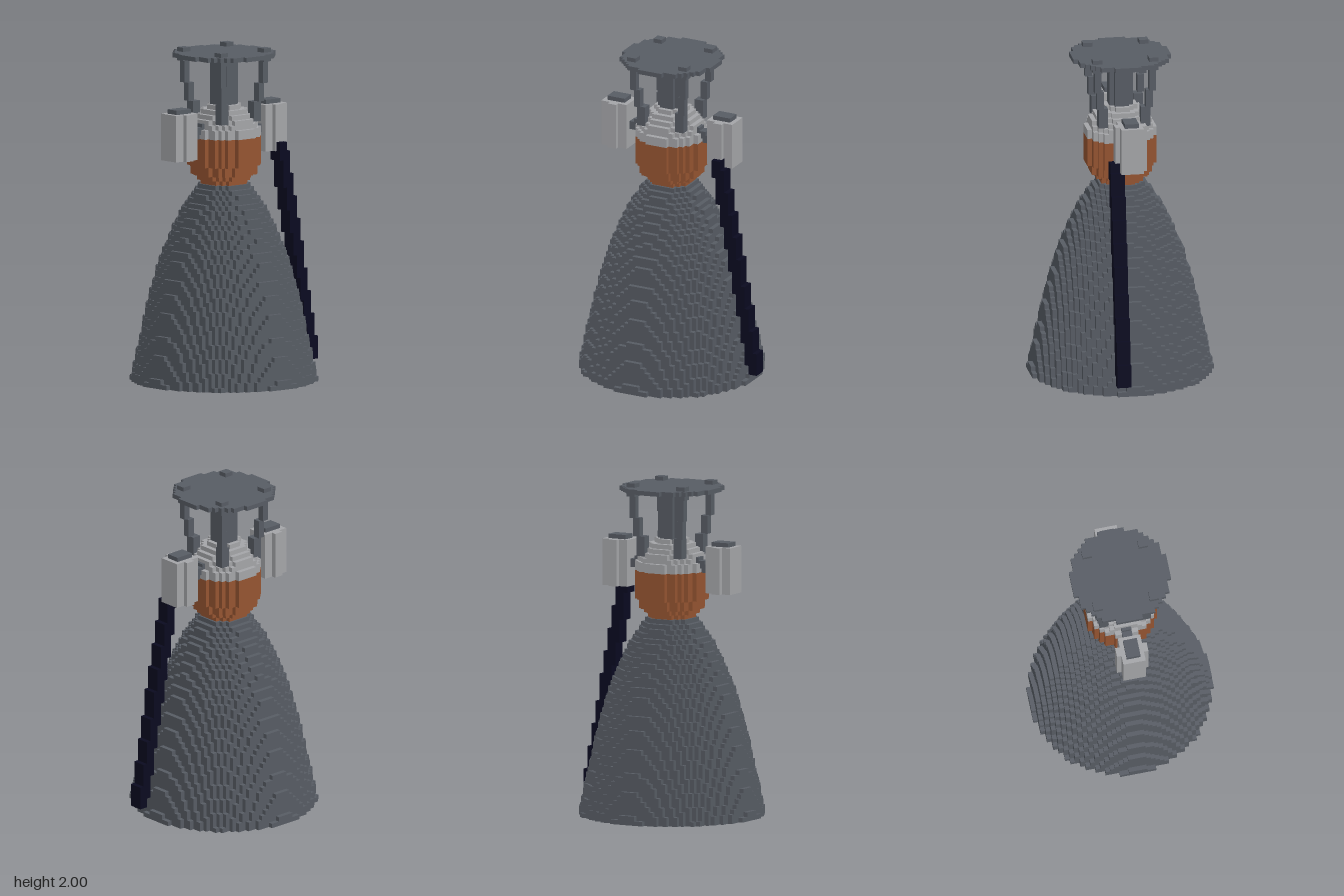
import * as THREE from 'three';

const mat = (name, color) => Object.assign(new THREE.MeshStandardMaterial({ color }), { name });
const AXIS = -0.044; // x of the engine's centre line

// Blocky solid: cells that pass inside(x, layer, z) become cubes; only exposed faces are built.
// size: cell size, count: cells per axis, base: bottom centre, solid: cells that hide faces.
function voxels(name, material, size, count, base, inside, solid = inside) {
  const filled = (c, test) => c.every((v, a) => v >= 0 && v < count[a]) &&
    test(c[0] + 0.5 - count[0] / 2, c[1], c[2] + 0.5 - count[2] / 2);
  const pos = [];
  const emit = (c) => {
    const p = [0, 1, 2].map((a) => base[a] + size[a] * (c[a] + 0.5 - (a === 1 ? 0 : count[a] / 2)));
    for (let d = 0; d < 3; d++) {
      for (const s of [-1, 1]) {
        const n = [...c];
        n[d] += s;
        if (filled(n, solid)) continue;
        const e = (d + 1) % 3, f = (d + 2) % 3;
        const quad = [[-1, -1], [1, -1], [1, 1], [-1, 1]].map(([a, b]) => {
          const q = [...p];
          q[d] += s * size[d] / 2;
          q[e] += a * size[e] / 2;
          q[f] += b * size[f] / 2;
          return q;
        });
        if (s < 0) quad.reverse();
        for (const k of [0, 1, 2, 0, 2, 3]) pos.push(...quad[k]);
      }
    }
  };
  for (let i = 0; i < count[0]; i++)
    for (let j = 0; j < count[1]; j++)
      for (let k = 0; k < count[2]; k++) if (filled([i, j, k], inside)) emit([i, j, k]);
  const geo = new THREE.BufferGeometry();
  geo.setAttribute('position', new THREE.Float32BufferAttribute(pos, 3));
  geo.computeVertexNormals();
  const mesh = new THREE.Mesh(geo, material);
  mesh.name = name;
  return mesh;
}

function box(name, material, x0, x1, y0, y1, z0, z1) {
  const mesh = new THREE.Mesh(new THREE.BoxGeometry(x1 - x0, y1 - y0, z1 - z0), material);
  mesh.position.set((x0 + x1) / 2, (y0 + y1) / 2, (z0 + z1) / 2);
  mesh.name = name;
  return mesh;
}

// Bell radius in cells against layer height
const BELL = [[0, 20], [2, 19.5], [7, 18.5], [11, 17.5], [16, 16.5], [20, 15.5], [23.5, 14.5], [27, 13.5],
  [29.3, 12.5], [31.7, 11.5], [34, 10.5], [36, 9.5], [38, 8.5], [39.5, 7.5], [41, 6.5], [42, 5.6], [43, 5]];
function bellRadius(y) {
  const k = BELL.findIndex((p) => p[0] >= y);
  const [a, b] = [BELL[k - 1], BELL[k]];
  return a[1] + (b[1] - a[1]) * (y - a[0]) / (b[0] - a[0]);
}

export function createModel() {
  const gray = mat('darkGrayMetal', 0x575c64);
  const silver = mat('silverMetal', 0xa4a5a8);
  const copper = mat('copper', 0x955431);
  const navy = mat('darkNavy', 0x0a0a20);
  const model = new THREE.Group();
  model.name = 'rocketEngine';

  // Hollow nozzle bell with a dark lining
  const size = [0.0274, 0.02758, 0.0274], count = [40, 43, 40], base = [AXIS, 0, 0];
  const depth = (x, j, z) => bellRadius(j + 0.5) - Math.hypot(x, z);
  const shell = (x, j, z) => { const d = depth(x, j, z); return d >= 0 && (d < 1.45 || j > 40); };
  const lining = (x, j, z) => { const d = depth(x, j, z); return d >= 1.45 && d < 2.5 && j <= 40; };
  const wall = (x, j, z) => shell(x, j, z) || lining(x, j, z);
  model.add(voxels('nozzleBell', gray, size, count, base, shell, wall));
  model.add(voxels('nozzleLining', navy, size, count, base, lining, wall));

  // Combustion chamber: copper bowl under a silver dome
  const round = (radii) => (x, j, z) => Math.hypot(x, z) < radii[j];
  const bowl = [4.6, 5.6, 6.5, 6.7, 7.4, 7.5, 7.5, 7.5, 7.5, 7.5];
  const dome = [7.5, 7.4, 6.8, 6.4, 5.6, 4.7, 3.6];
  model.add(voxels('chamberBowl', copper, [0.0279, 0.0285, 0.0279], [15, 10, 15], [AXIS, 1.185, 0], round(bowl)));
  model.add(voxels('chamberDome', silver, [0.0279, 0.0275, 0.0279], [15, 7, 15], [AXIS, 1.47, 0], round(dome)));

  // Feed column and mounting plate
  model.add(voxels('feedColumn', gray, [0.0286, 0.35, 0.0286], [5, 1, 5], [AXIS, 1.6, 0], round([2.6])));
  model.add(voxels('mountingPlate', gray, [0.0268, 0.027, 0.0268], [22, 1, 22], [AXIS, 1.948, 0], round([11.0])));

  // Four stepped struts carrying the plate
  const steps = [[0.17, 1.92, 2, 0.056], [0.165, 1.79, 1.92, 0.04], [0.148, 1.68, 1.79, 0.042], [0.128, 1.56, 1.68, 0.055]];
  for (const sx of [-1, 1]) {
    for (const sz of [-1, 1]) {
      const strut = new THREE.Group();
      strut.name = 'strut';
      for (const [off, y0, y1, w] of steps) {
        const x = AXIS + sx * off, z = sz * off;
        strut.add(box('strutSegment', gray, x - w / 2, x + w / 2, y0, y1, z - w / 2, z + w / 2));
      }
      model.add(strut);
    }
  }

  // Side pods with caps and stepped link arms
  for (const s of [-1, 1]) {
    const x = AXIS + s * 0.353;
    model.add(voxels('sidePod', silver, [0.0283, 0.28, 0.0273], [6, 1, 7], [x, 1.355, 0],
      (a, j, b) => Math.hypot(a * 1.08, b) < 3.4));
    model.add(voxels('podCap', gray, [0.0285, 0.026, 0.028], [4, 1, 3], [x, 1.635, 0], () => true));
    [[0.13, 0.2, 1.52, 1.56], [0.18, 0.24, 1.495, 1.54], [0.22, 0.28, 1.47, 1.52]].forEach(([a, b, y0, y1]) =>
      model.add(box('podArm', gray, AXIS + (s < 0 ? -b : a), AXIS + (s < 0 ? -a : b), y0, y1, -0.03, 0.03)));
  }

  // Slanted exhaust pipe down the left side
  const pipe = (x, j) => Math.abs(x + 5.5 - (10.1 - j * 9.1 / 47)) < 1.25;
  model.add(voxels('exhaustPipe', navy, [0.0274, 0.0276, 0.0278], [11, 48, 3], [0.437, 0.085, 0.085], pipe));

  return model;
}
